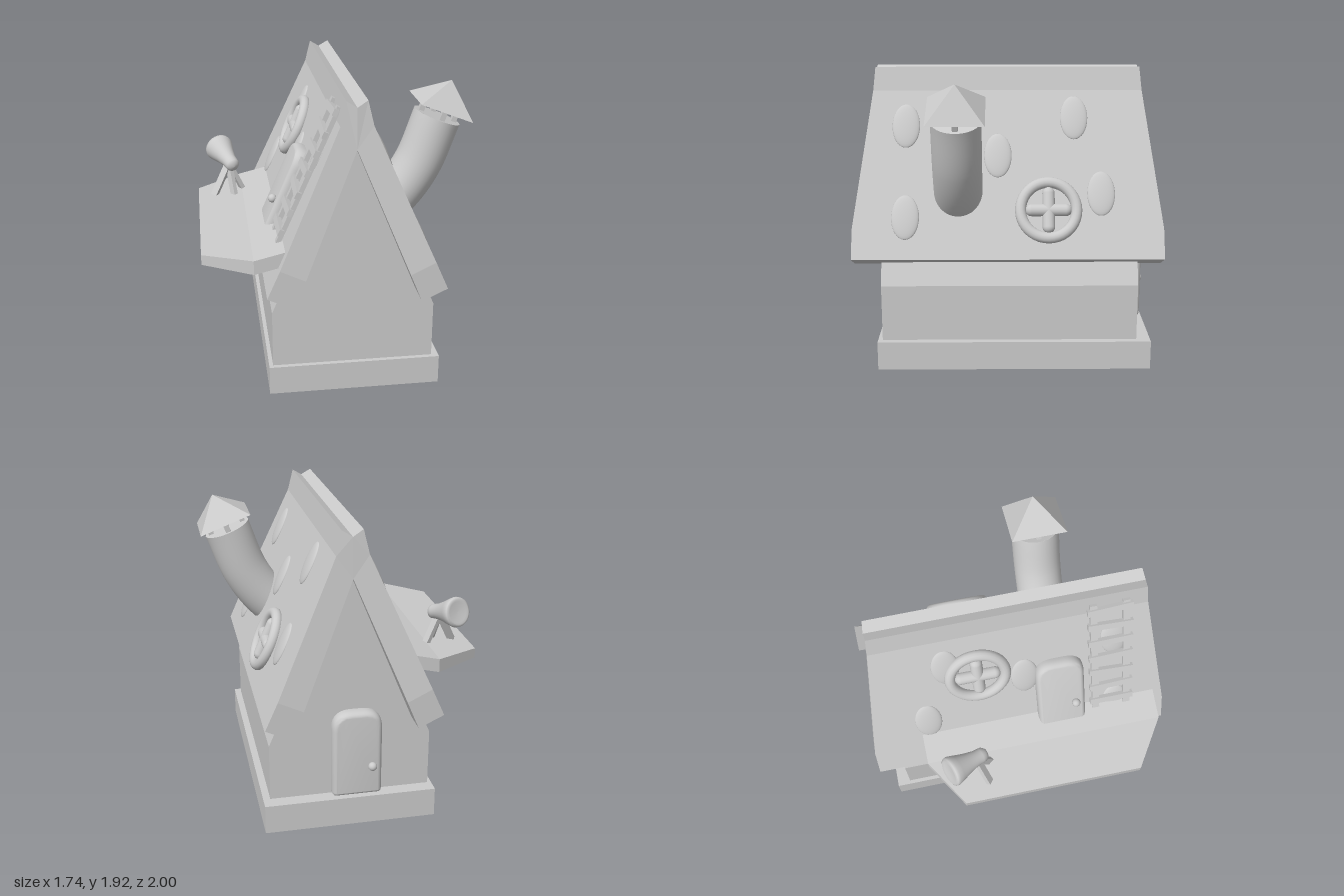
import * as THREE from 'three';
import { toCreasedNormals } from 'three/addons/utils/BufferGeometryUtils.js';

const mat = new THREE.MeshStandardMaterial({ color: 0xcccccc, side: THREE.DoubleSide });
const CX = 0.065; // ridge line of the house
const V = (x, y, z) => new THREE.Vector3(x, y, z);

function add(parent, name, geo, x = 0, y = 0, z = 0) {
  const m = new THREE.Mesh(geo, mat);
  m.name = name;
  m.position.set(x, y, z);
  parent.add(m);
  return m;
}

// Faceted solid through a list of four-cornered rings
function loft(rings, flip) {
  const pos = [];
  const quad = (a, b, c, d) => {
    const q = flip ? [a, c, b, a, d, c] : [a, b, c, a, c, d];
    q.forEach(p => pos.push(...p));
  };
  for (let i = 0; i + 1 < rings.length; i++) {
    for (let j = 0; j < 4; j++) {
      const k = (j + 1) % 4;
      quad(rings[i][j], rings[i][k], rings[i + 1][k], rings[i + 1][j]);
    }
  }
  const [a, b, c, d] = rings[0];
  quad(d, c, b, a);
  quad(...rings[rings.length - 1]);
  const g = new THREE.BufferGeometry();
  g.setAttribute('position', new THREE.Float32BufferAttribute(pos, 3));
  g.computeVertexNormals();
  return g;
}

// Bar between two points
function bar(parent, name, a, b, w, d) {
  const m = add(parent, name, new THREE.BoxGeometry(w, a.distanceTo(b), d));
  m.position.copy(a).lerp(b, 0.5);
  m.quaternion.setFromUnitVectors(V(0, 1, 0), b.clone().sub(a).normalize());
  return m;
}

// Frame lying on a roof slope: local y runs up the slope, local z points outward
function onRoof(parent, name, side, y, z) {
  const g = new THREE.Group();
  g.name = name;
  const n = V(2.24 * side, 1, 0).normalize();
  const up = V(-side, 2.24, 0).normalize();
  g.quaternion.setFromRotationMatrix(new THREE.Matrix4().makeBasis(V(0, 0, -side), up, n));
  g.position.set(CX + side * (0.555 - (y - 0.75) / 2.24), y, z);
  parent.add(g);
  return g;
}

// Puffy arched door with a knob
function buildDoor(g) {
  const w = 0.16, h = 0.29, r = 0.125, c = 0.03;
  const s = new THREE.Shape();
  s.moveTo(-w + c, -h).lineTo(w - c, -h).quadraticCurveTo(w, -h, w, -h + c);
  s.lineTo(w, h - r).quadraticCurveTo(w, h, w - r, h);
  s.lineTo(-w + r, h).quadraticCurveTo(-w, h, -w, h - r);
  s.lineTo(-w, -h + c).quadraticCurveTo(-w, -h, -w + c, -h);
  const geo = new THREE.ExtrudeGeometry(s, {
    depth: 0.02, bevelThickness: 0.05, bevelSize: 0.03, bevelOffset: -0.03, bevelSegments: 5, curveSegments: 10,
  });
  add(g, 'doorPanel', toCreasedNormals(geo, 0.8));
  add(g, 'doorKnob', new THREE.SphereGeometry(0.028, 16, 12), 0.09, -0.08, 0.085);
}

// Round window with crossed bars
function buildWindow(g) {
  add(g, 'windowRing', new THREE.TorusGeometry(0.18, 0.036, 14, 40), 0, 0, 0.018);
  for (const a of [0, Math.PI / 2]) {
    const m = add(g, 'windowBar', new THREE.CapsuleGeometry(0.04, 0.22, 8, 16), 0, 0, 0.015);
    m.rotation.z = a;
  }
}

export function createModel() {
  const house = new THREE.Group();
  house.name = 'house';

  // Plinth and gabled walls
  add(house, 'plinth', new THREE.BoxGeometry(1.1, 0.19, 1.78), 0.075, 0.095, -0.04);
  const gable = new THREE.Shape([[-0.515, 0.18], [0.515, 0.18], [0.515, 0.56], [0, 1.76], [-0.515, 0.56]]
    .map(p => new THREE.Vector2(...p)));
  add(house, 'walls', new THREE.ExtrudeGeometry(gable, { depth: 1.66, bevelEnabled: false }), CX, 0, -0.84);

  // Roof slopes: outer x, outer y, inner x, inner y, outer z, inner z
  const stations = [
    [0.555, 0.75, 0.395, 0.675, 1, 1],
    [0.475, 0.93, 0.32, 0.855, 1, 1],
    [0.1, 1.77, 0, 1.63, 0.88, 0.89],
    [0.065, 1.92, 0, 1.88, 0.865, 0.875],
  ];
  for (const s of [1, -1]) {
    const rings = stations.map(([ox, oy, ix, iy, oz, iz]) => [
      [s * ox, oy, oz], [s * ox, oy, -oz], [s * ix, iy, -iz], [s * ix, iy, iz]]);
    add(house, 'roofSlope', loft(rings, s > 0), CX);

    // Raised oval spots
    for (const [y, z] of [[1.55, 0.66], [1.37, 0.065], [1.6, -0.43], [1.14, -0.6], [1.0, 0.66]]) {
      const yy = s < 0 && z === -0.43 ? 1.56 : y;
      add(onRoof(house, 'roofSpot', s, yy, z), 'spot', new THREE.SphereGeometry(1, 28, 16)).scale.set(0.09, 0.145, 0.022);
    }
  }

  // Windows and doors
  buildWindow(onRoof(house, 'rightWindow', 1, 1.04, -0.26));
  buildWindow(onRoof(house, 'leftWindow', -1, 1.46, -0.235));
  buildDoor(onRoof(house, 'balconyDoor', -1, 1.2, 0.29));
  const backDoor = new THREE.Group();
  backDoor.name = 'backDoor';
  backDoor.position.set(0.03, 0.48, -0.845);
  backDoor.rotation.y = Math.PI;
  buildDoor(backDoor);
  house.add(backDoor);

  // Curved chimney
  const path = new THREE.CatmullRomCurve3([
    V(0.25, 1.0, 0.32), V(0.42, 1.14, 0.32), V(0.56, 1.34, 0.32), V(0.68, 1.655, 0.32)]);
  add(house, 'chimneyPipe', new THREE.TubeGeometry(path, 24, 0.157, 32));

  // Chimney cover on small posts
  const top = new THREE.Group();
  top.name = 'chimneyTop';
  top.position.set(0.68, 1.655, 0.32);
  top.rotation.z = -0.37;
  house.add(top);
  add(top, 'chimneyLid', new THREE.CircleGeometry(0.157, 32)).rotation.x = -Math.PI / 2;
  for (let i = 0; i < 4; i++) {
    const a = i * Math.PI / 2;
    add(top, 'coverPost', new THREE.BoxGeometry(0.035, 0.12, 0.035), 0.115 * Math.cos(a), 0.03, 0.115 * Math.sin(a));
  }
  const cover = new THREE.ConeGeometry(0.255, 0.185, 4, 1);
  cover.rotateY(Math.PI / 4);
  add(top, 'chimneyCover', toCreasedNormals(cover, 0.3), 0, 0.155, 0);

  // Balcony: x, top y, bottom y, z limits
  const deck = [
    [-0.87, 0.945, 0.88, -0.46, 0.73],
    [-0.56, 0.975, 0.885, -0.66, 0.93],
    [-0.33, 1.03, 0.94, -0.66, 0.93],
  ].map(([x, t, b, z0, z1]) => [[x, t, z0], [x, t, z1], [x, b, z1], [x, b, z0]]);
  add(house, 'balcony', loft(deck, true));

  // Telescope on a tripod
  const scope = new THREE.Group();
  scope.name = 'telescope';
  house.add(scope);
  const profile = [[0, 0], [0.03, 0.005], [0.047, 0.025], [0.05, 0.05], [0.052, 0.09], [0.068, 0.16],
    [0.09, 0.23], [0.1, 0.265], [0.096, 0.285], [0.08, 0.293], [0.068, 0.285], [0, 0.283]]
    .map(p => new THREE.Vector2(...p));
  const tube = add(scope, 'telescopeTube', new THREE.LatheGeometry(profile, 28), -0.612, 1.16, -0.27);
  tube.quaternion.setFromUnitVectors(V(0, 1, 0), V(-0.1, 0.075, -0.25).normalize());
  for (const foot of [V(-0.76, 0.955, -0.28), V(-0.56, 0.975, -0.36), V(-0.62, 0.96, -0.25)]) {
    bar(scope, 'tripodLeg', V(-0.65, 1.17, -0.34), foot, 0.03, 0.045);
  }

  // Ladder with slightly crooked rungs
  const ladder = onRoof(house, 'ladder', -1, 1.42, 0.63);
  for (const x of [-0.105, 0.105]) {
    add(ladder, 'ladderRail', new THREE.BoxGeometry(0.045, 0.93, 0.03), x, 0, 0.022);
  }
  for (let i = 0; i < 7; i++) {
    const rung = add(ladder, 'ladderRung', new THREE.BoxGeometry(0.29, 0.045, 0.03), 0, -0.39 + i * 0.135, 0.035);
    rung.rotation.z = 0.06 * Math.sin(i * 2.3);
  }

  return house;
}
